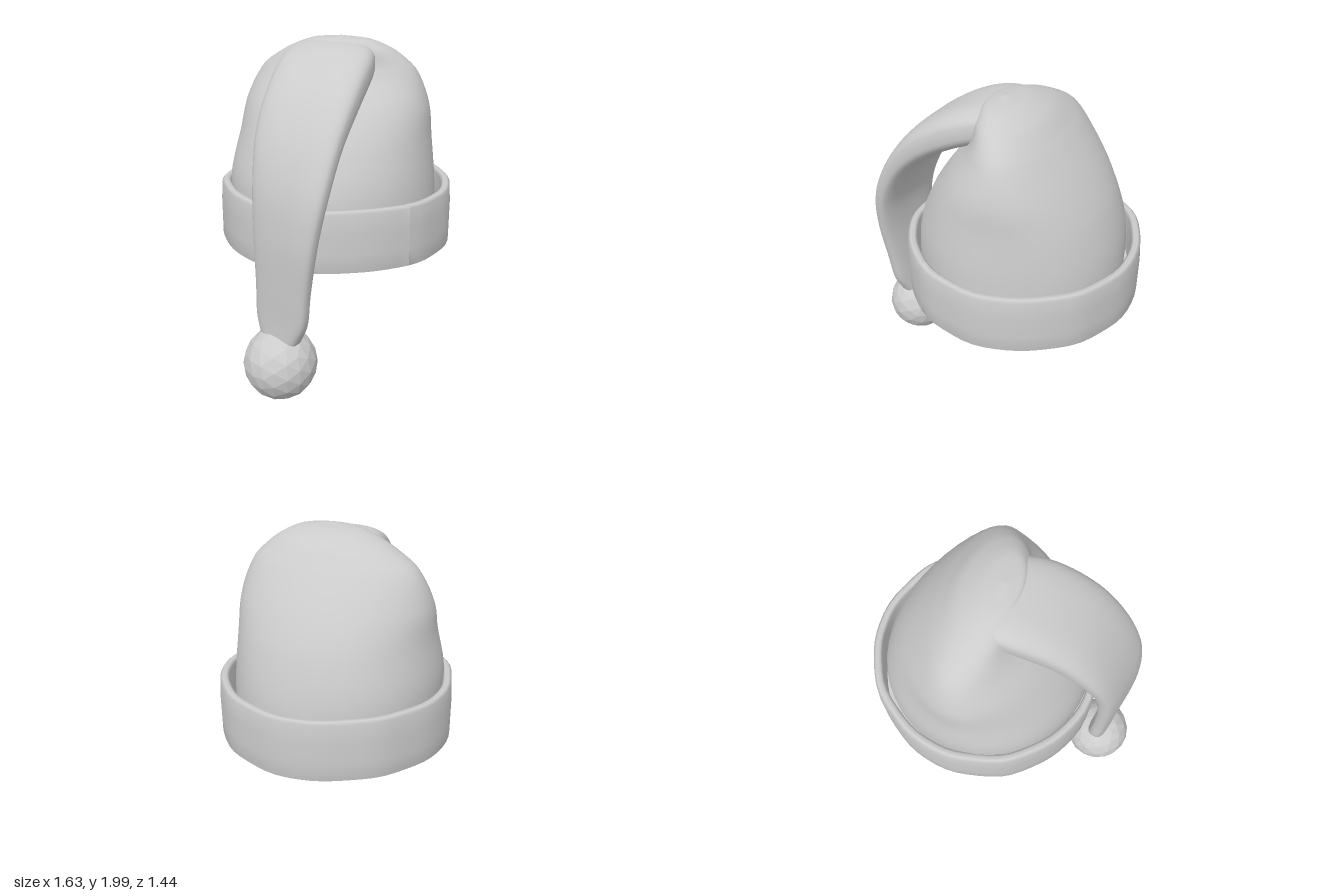
import * as THREE from 'three';

const material = new THREE.MeshStandardMaterial({ color: 0xcccccc, side: THREE.DoubleSide });

// Smooth skin through rows of [x, y, z, halfWidth, halfDepth, heading].
// heading: angle of the width direction from +z towards +x;
// power: 2 = ellipse, higher = boxier; level: rings stay horizontal,
// otherwise they follow the path.
function loft(rows, { power = 2, level = false, steps = 60, sides = 48, wrinkle = () => 0 }) {
  const path = new THREE.CatmullRomCurve3(rows.map(r => new THREE.Vector3(r[0], r[1], r[2])));
  const size = new THREE.CatmullRomCurve3(
    rows.map(r => new THREE.Vector3(r[3], r[4], r[5])), false, 'catmullrom');
  const positions = [], index = [];
  const soft = v => Math.sign(v) * Math.pow(Math.abs(v), 2 / power);
  for (let i = 0; i <= steps; i++) {
    const u = i / steps;
    const c = path.getPoint(u), s = size.getPoint(u);
    const along = level ? new THREE.Vector3(0, 1, 0) : path.getTangent(u);
    const across = new THREE.Vector3(Math.sin(s.z), 0, Math.cos(s.z));
    const normal = along.clone().cross(across).normalize();
    for (let j = 0; j < sides; j++) {
      const t = j / sides * Math.PI * 2;
      const k = 1 + wrinkle(t, u);
      const p = c.clone()
        .addScaledVector(across, soft(Math.cos(t)) * s.x * k)
        .addScaledVector(normal, soft(Math.sin(t)) * s.y * k);
      positions.push(p.x, p.y, p.z);
      if (i < steps) {
        const a = i * sides + j, b = i * sides + (j + 1) % sides;
        index.push(a, b, b + sides, a, b + sides, a + sides);
      }
    }
  }
  const geometry = new THREE.BufferGeometry();
  geometry.setAttribute('position', new THREE.Float32BufferAttribute(positions, 3));
  geometry.setIndex(index);
  geometry.computeVertexNormals();
  return geometry;
}

function addPart(group, name, geometry, mat = material) {
  const mesh = new THREE.Mesh(geometry, mat);
  mesh.name = name;
  group.add(mesh);
  return mesh;
}

export function createModel() {
  const hat = new THREE.Group();
  hat.name = 'floppyHat';

  // Hollow crown: round at the hem, pinched to a crest at the top
  addPart(hat, 'crown', loft([
    [0.09, 0.84, 0, 0.68, 0.68, 0.52],
    [0.09, 0.85, 0, 0.59, 0.59, 0.52],
    [0.08, 0.92, 0, 0.635, 0.635, 0.52],
    [0.07, 1.15, -0.005, 0.64, 0.625, 0.52],
    [0.085, 1.40, -0.005, 0.605, 0.535, 0.54],
    [0.095, 1.60, -0.01, 0.58, 0.41, 0.56],
    [0.105, 1.80, -0.005, 0.49, 0.25, 0.56],
    [0.085, 1.92, 0.05, 0.33, 0.18, 0.54],
    [0.06, 1.98, 0.09, 0.18, 0.10, 0.52],
    [0.05, 1.998, 0.10, 0.003, 0.003, 0.52],
  ], {
    level: true,
    wrinkle: (t, u) => 0.008 * Math.sin(5 * t + 9 * u) * Math.sin(Math.PI * u),
  }));

  // Folded band with a slightly uneven edge
  const profile = [
    [0.665, 0.74], [0.70, 0.735], [0.722, 0.745], [0.722, 0.85], [0.722, 0.98], [0.715, 1.09],
    [0.70, 1.105], [0.675, 1.105], [0.66, 1.09], [0.665, 0.92], [0.665, 0.74],
  ].map(p => new THREE.Vector2(...p));
  const band = new THREE.LatheGeometry(profile, 64);
  const pos = band.attributes.position;
  for (let i = 0; i < pos.count; i++) {
    const x = pos.getX(i), z = pos.getZ(i), t = Math.atan2(z, x);
    const k = 1 + 0.004 * Math.sin(9 * t) + 0.003 * Math.sin(14 * t);
    pos.setXYZ(i, x * k, pos.getY(i) + 0.006 * Math.sin(4 * t), z * k);
  }
  band.computeVertexNormals();
  addPart(hat, 'band', band).position.x = 0.09;

  // Flattened tail that folds over the crown, twists a little and hangs past the band
  addPart(hat, 'tail', loft([
    [0.13, 1.79, -0.03, 0.20, 0.07, 0.52],
    [0.03, 1.865, 0.06, 0.26, 0.10, 0.52],
    [-0.10, 1.835, 0.17, 0.285, 0.115, 0.52],
    [-0.30, 1.70, 0.32, 0.28, 0.105, 0.50],
    [-0.46, 1.50, 0.42, 0.265, 0.083, 0.44],
    [-0.56, 1.25, 0.485, 0.24, 0.070, 0.36],
    [-0.60, 1.00, 0.495, 0.215, 0.063, 0.30],
    [-0.61, 0.70, 0.48, 0.185, 0.058, 0.30],
    [-0.61, 0.50, 0.465, 0.17, 0.058, 0.32],
    [-0.61, 0.36, 0.45, 0.12, 0.065, 0.32],
  ], { power: 3, sides: 40 }));

  // Faceted pompom
  const facet = new THREE.MeshStandardMaterial({ color: 0xcccccc, flatShading: true });
  addPart(hat, 'pompom', new THREE.IcosahedronGeometry(0.214, 2), facet).position.set(-0.61, 0.213, 0.44);

  return hat;
}
